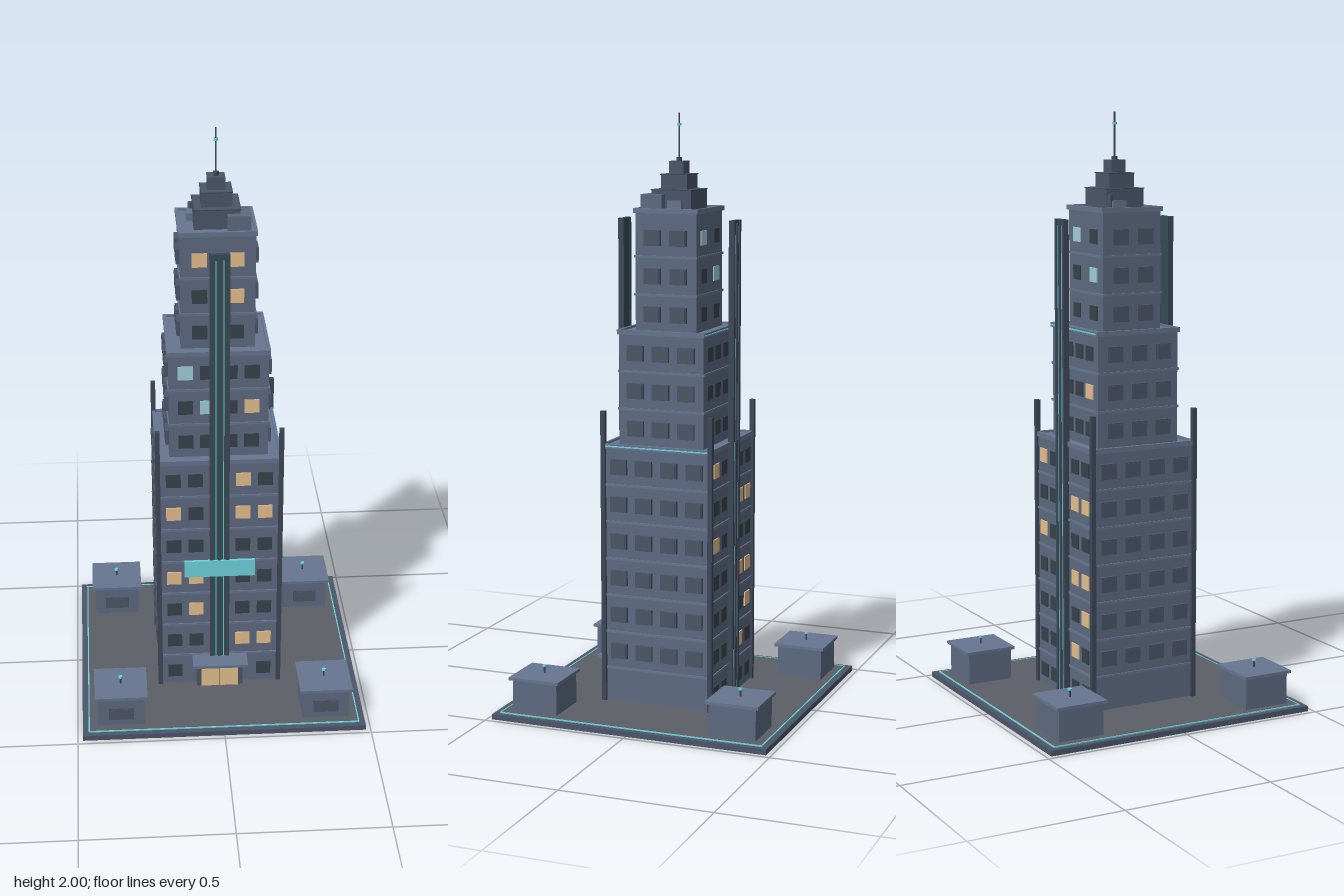
import * as THREE from 'three';

const mat = (color) => new THREE.MeshStandardMaterial({ color });
const M = {
  wall: mat(0x5f6b82), trim: mat(0x4c566a), roof: mat(0x667590), plaza: mat(0x5c6066),
  dark: mat(0x38434b), pane: mat(0x4d5666), lit: mat(0xe6c08e), cool: mat(0x9fd0dc),
  cyan: mat(0x6fd6de), teal: mat(0x2f5054), metal: mat(0x3f4858),
};

export function createModel() {
  const root = new THREE.Group();
  const group = (name) => {
    const g = new THREE.Group();
    g.name = name;
    root.add(g);
    return g;
  };
  // box given by centre x, bottom y, centre z
  const box = (parent, name, w, h, d, x, y, z, m) => {
    const mesh = new THREE.Mesh(new THREE.BoxGeometry(w, h, d), m);
    mesh.name = name;
    mesh.position.set(x, y + h / 2, z);
    parent.add(mesh);
    return mesh;
  };
  const rod = (parent, name, r, h, x, y, z, m) => {
    const mesh = new THREE.Mesh(new THREE.CylinderGeometry(r, r, h, 10), m);
    mesh.name = name;
    mesh.position.set(x, y + h / 2, z);
    parent.add(mesh);
    return mesh;
  };
  // rectangular rim of four bars
  const rim = (parent, name, hx, hz, t, h, y, m) => {
    for (const s of [-1, 1]) {
      box(parent, name, hx * 2, h, t, 0, y, s * (hz - t / 2), m);
      box(parent, name, t, h, hz * 2 - t * 2, s * (hx - t / 2), y, 0, m);
    }
  };

  // plaza
  const base = group('plaza');
  box(base, 'plinth', 0.966, 0.018, 0.966, 0, 0, 0, M.trim);
  box(base, 'paving', 0.92, 0.003, 0.92, 0, 0.018, 0, M.plaza);
  rim(base, 'plazaLightLine', 0.463, 0.463, 0.004, 0.004, 0.018, M.cyan);

  // lit windows, as "column,row" with rows counted from the ground
  const frontLit = {
    '1,1': 'lit', '2,1': 'lit', '-1,2': 'lit', '-2,3': 'lit', '-1,3': 'lit',
    '-2,5': 'lit', '1,5': 'lit', '2,5': 'lit', '1,6': 'lit',
    '-1,8': 'cool', '2,8': 'lit', '-2,9': 'cool',
    '1,11': 'lit', '-1,12': 'lit', '1,12': 'lit',
  };
  const backLit = {
    '2,6': 'lit', '2,4': 'lit', '-1,5': 'lit', '-2,5': 'lit', '-1,3': 'lit',
    '-2,3': 'lit', '-1,1': 'lit', '-2,2': 'lit', '-2,8': 'lit',
    '-1,11': 'cool', '1,12': 'cool',
  };

  // stepped tower
  const FLOOR = 0.1267;
  const tiers = [
    { hx: 0.205, hz: 0.19, y0: 0.02, y1: 0.9, rows: [0, 6], cols: [0.08, 0.155], side: [-0.135, -0.045, 0.045, 0.135] },
    { hx: 0.165, hz: 0.15, y0: 0.9, y1: 1.28, rows: [7, 9], cols: [0.037, 0.11], side: [-0.09, 0, 0.09] },
    { hx: 0.122, hz: 0.108, y0: 1.28, y1: 1.68, rows: [10, 12], cols: [0.06], side: [-0.046, 0.046] },
  ];
  tiers.forEach((t, i) => {
    const g = group(['lowerTier', 'middleTier', 'upperTier'][i]);
    box(g, 'walls', t.hx * 2, t.y1 - t.y0, t.hz * 2, 0, t.y0, 0, M.wall);
    box(g, 'roof', t.hx * 2 + 0.008, 0.006, t.hz * 2 + 0.008, 0, t.y1 - 0.003, 0, M.roof);
    rim(g, 'parapet', t.hx + 0.006, t.hz + 0.006, 0.01, 0.016, t.y1 - 0.006, M.roof);
    for (let r = t.rows[0]; r <= t.rows[1]; r++) {
      const y = 0.073 + r * FLOOR;
      if (r < t.rows[1]) {
        box(g, 'floorBand', t.hx * 2 + 0.008, 0.008, t.hz * 2 + 0.008, 0, y + 0.06, 0, M.roof);
      }
      // front and back windows
      for (const s of [-1, 1]) for (const f of [-1, 1]) t.cols.forEach((cx, c) => {
        if (r === 0 && c === 0 && f === 1) return;
        const kind = (f > 0 ? frontLit : backLit)[`${s * (c + 1)},${r}`] || 'dark';
        box(g, 'window', 0.05, 0.048, 0.008, s * cx, y - 0.024, f * t.hz, M[kind]);
      });
      // projecting side windows, none on the ground floor
      if (r > 0) for (const s of [-1, 1]) for (const z of t.side) {
        box(g, 'sideWindowFrame', 0.024, 0.052, 0.058, s * t.hx, y - 0.026, z, M.trim);
        box(g, 'sideWindowPane', 0.026, 0.042, 0.048, s * t.hx, y - 0.021, z, M.pane);
      }
    }
  });
  const lines = group('ledgeLights');
  box(lines, 'sideLight', 0.004, 0.004, 0.38, 0.212, 0.9, 0, M.cyan);
  box(lines, 'backLight', 0.33, 0.004, 0.004, 0, 1.28, -0.157, M.cyan);

  // corner posts
  const posts = group('cornerPosts');
  for (const sx of [-1, 1]) for (const sz of [-1, 1]) {
    box(posts, 'cornerPost', 0.016, 1.0, 0.016, sx * 0.207, 0.02, sz * 0.191, M.metal);
  }

  // tall vertical fins on front and back
  for (const s of [-1, 1]) {
    const g = group(s > 0 ? 'frontFin' : 'backFin');
    box(g, 'finCore', 0.05, 1.63, 0.014, 0, 0.02, s * 0.197, M.teal);
    for (const x of [-0.027, 0.027]) box(g, 'finRail', 0.012, 1.63, 0.02, x, 0.02, s * 0.198, M.metal);
    box(g, 'finRib', 0.012, 1.62, 0.006, 0, 0.02, s * 0.205, M.metal);
    for (const x of [-0.013, 0.013]) box(g, 'finLight', 0.003, 1.61, 0.004, x, 0.02, s * 0.204, M.cyan);
  }

  // entrance
  const entry = group('entrance');
  box(entry, 'doorFrame', 0.16, 0.108, 0.03, 0, 0.02, 0.2, M.trim);
  for (const s of [-1, 1]) box(entry, 'door', 0.063, 0.088, 0.006, s * 0.033, 0.022, 0.216, M.lit);
  box(entry, 'canopy', 0.19, 0.01, 0.075, 0, 0.128, 0.232, M.roof);
  box(group('signBoard'), 'signPanel', 0.24, 0.062, 0.01, 0, 0.467, 0.207, M.cyan);

  // stepped crown and roof equipment
  const crown = group('crown');
  [[0.075, 0.07, 1.68, 1.75], [0.05, 0.046, 1.75, 1.8], [0.029, 0.026, 1.8, 1.842]].forEach(([hx, hz, a, b], i) => {
    box(crown, 'crownStep', hx * 2, b - a, hz * 2, 0, a, 0, M.trim);
    if (i < 2) rim(crown, 'crownLight', hx + 0.002, hz + 0.002, 0.004, 0.003, b - 0.003, M.teal);
  });
  box(crown, 'roofUnit', 0.075, 0.05, 0.075, 0.07, 1.685, 0.058, M.wall);
  box(crown, 'roofVent', 0.03, 0.025, 0.05, -0.08, 1.685, -0.03, M.roof);
  box(crown, 'roofVent', 0.03, 0.03, 0.05, 0.07, 1.685, -0.015, M.roof);
  rod(crown, 'roofPipe', 0.008, 0.045, -0.08, 1.685, -0.06, M.trim);
  const antenna = group('antenna');
  rod(antenna, 'antennaFoot', 0.01, 0.012, 0, 1.842, 0, M.metal);
  rod(antenna, 'mast', 0.003, 0.158, 0, 1.842, 0, M.metal);
  rod(antenna, 'beacon', 0.008, 0.008, 0, 1.958, 0, M.cyan);

  // four corner pavilions
  for (const sx of [-1, 1]) for (const sz of [-1, 1]) {
    const g = group('pavilion');
    box(g, 'pavilionWalls', 0.16, 0.11, 0.16, 0, 0.02, 0, M.wall);
    box(g, 'pavilionRoof', 0.18, 0.01, 0.18, 0, 0.128, 0, M.roof);
    box(g, 'pavilionWindowFrame', 0.085, 0.046, 0.012, 0, 0.047, 0.08, M.trim);
    box(g, 'pavilionWindow', 0.075, 0.036, 0.014, 0, 0.052, 0.08, M.pane);
    rod(g, 'roofLampPole', 0.003, 0.025, 0, 0.138, 0, M.metal);
    rod(g, 'roofLamp', 0.007, 0.006, 0, 0.16, 0, M.cyan);
    g.position.set(sx * 0.35, 0, sz * 0.35);
  }
  return root;
}
